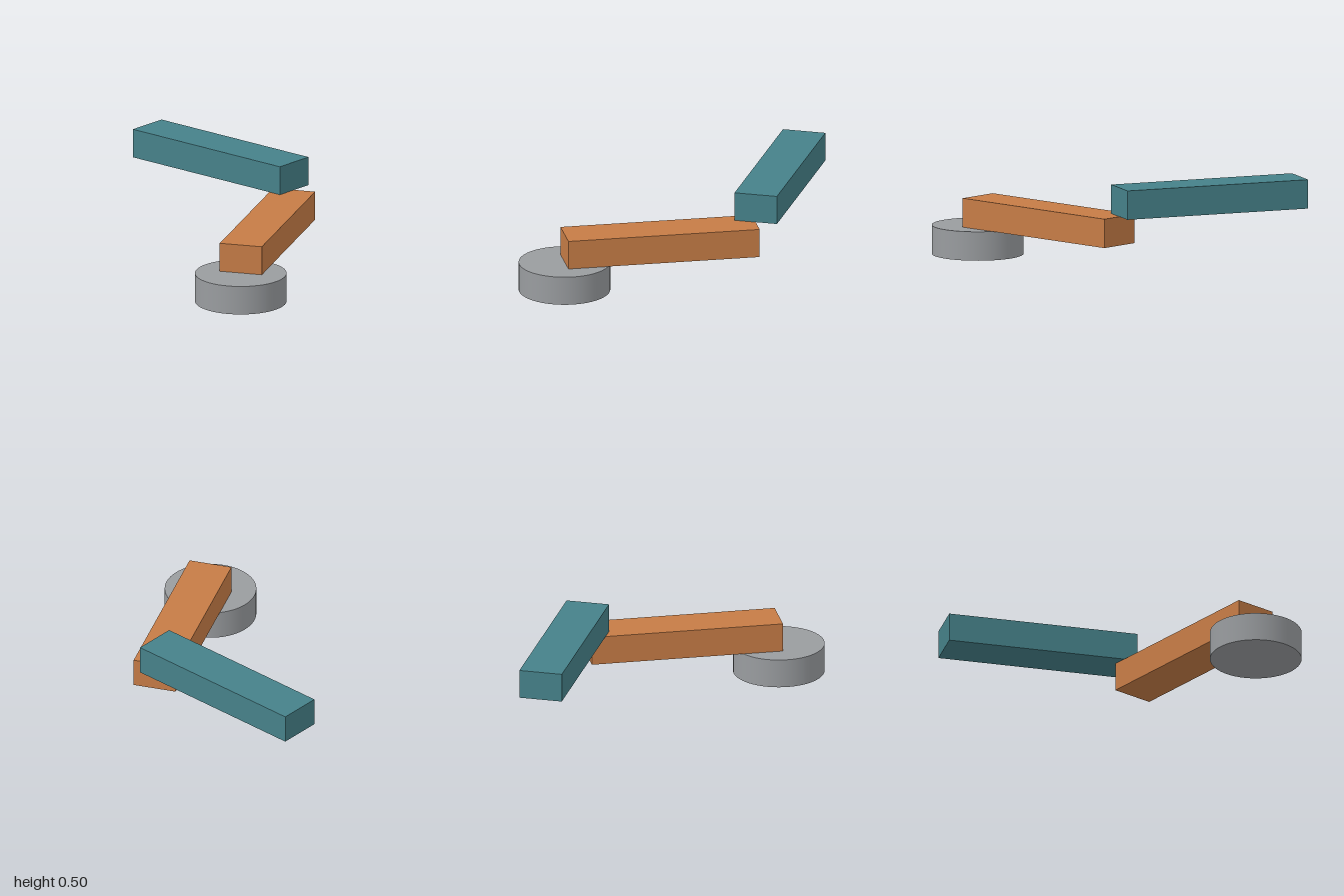
import * as THREE from 'three';

export function createModel() {
  const model = new THREE.Group();
  model.name = 'jointedArm';

  const material = (name, color) => {
    const m = new THREE.MeshStandardMaterial({ color });
    m.name = name;
    return m;
  };
  const grey = material('grey', 0x999c9f);
  const orange = material('orange', 0xc67c46);
  const teal = material('teal', 0x468189);

  const height = 0.166, length = 1.103, width = 0.248, radius = 0.26;

  // Round base, standing on the ground
  const base = new THREE.Mesh(new THREE.CylinderGeometry(radius, radius, height, 64), grey);
  base.name = 'base';
  base.position.set(-0.383, height / 2, 0.74);
  model.add(base);

  // Each link pivots at the middle of its end face and stacks on the part below
  const joint = base.position.clone();
  const addLink = (name, mat, degrees) => {
    const angle = THREE.MathUtils.degToRad(degrees);
    const link = new THREE.Mesh(new THREE.BoxGeometry(length, height, width), mat);
    const along = new THREE.Vector3(Math.cos(angle), 0, -Math.sin(angle));
    joint.y += height;
    link.name = name;
    link.rotation.y = angle;
    link.position.copy(joint).addScaledVector(along, length / 2);
    joint.addScaledVector(along, length);
    model.add(link);
  };
  addLink('lowerLink', orange, 35);
  addLink('upperLink', teal, 100);

  return model;
}
